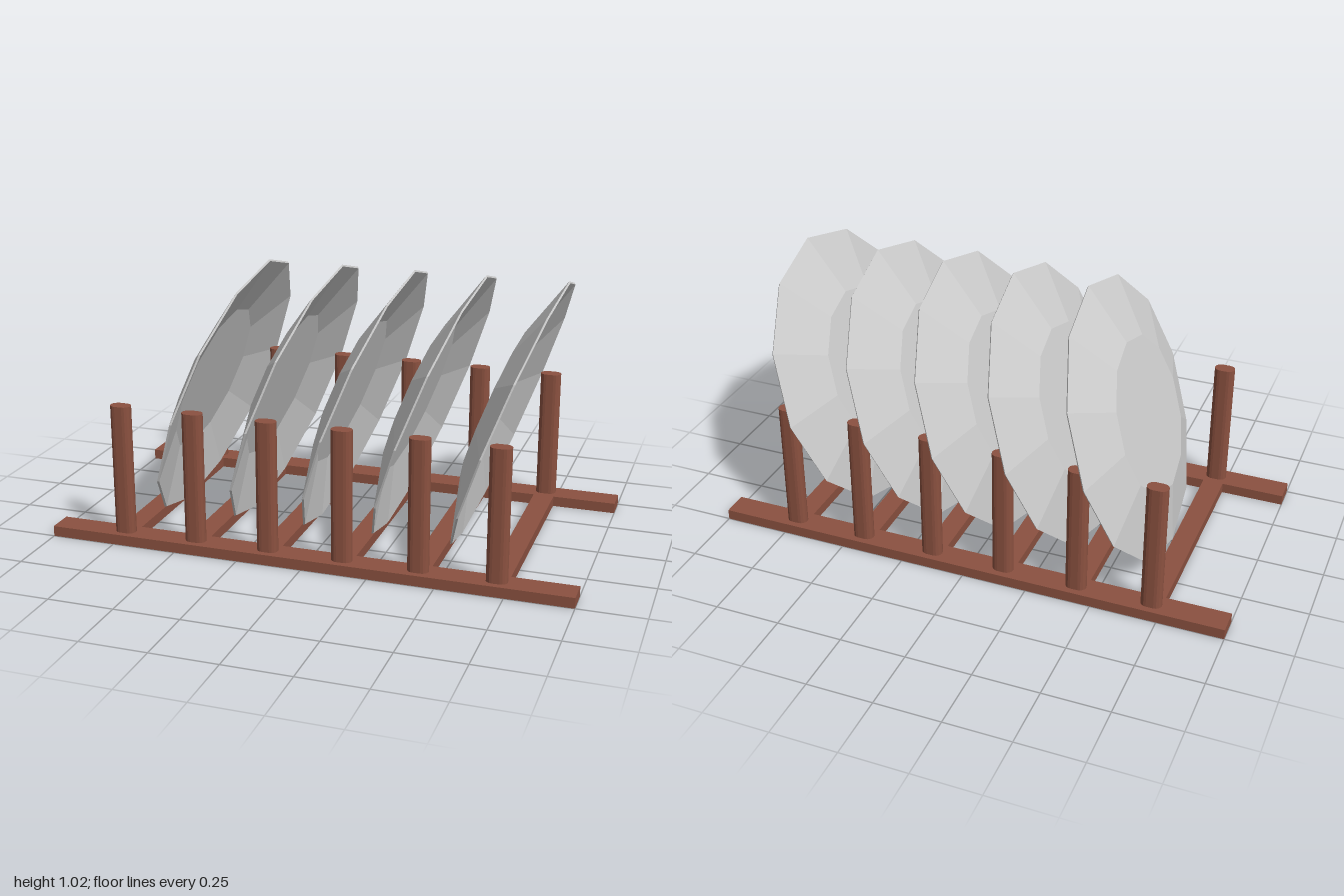
import * as THREE from 'three';

const wood = new THREE.MeshStandardMaterial({ color: 0x8b5140, flatShading: true });
const china = new THREE.MeshStandardMaterial({ color: 0xcccccc, flatShading: true });

function add(parent, name, geometry, material, x, y, z) {
  const mesh = new THREE.Mesh(geometry, material);
  mesh.name = name;
  mesh.position.set(x, y, z);
  parent.add(mesh);
  return mesh;
}

// Upright peg with a stadium-shaped section
function pegGeometry(halfLength, radius, height) {
  const c = halfLength - radius;
  const shape = new THREE.Shape();
  shape.absarc(c, 0, radius, -Math.PI / 2, Math.PI / 2, false);
  shape.absarc(-c, 0, radius, Math.PI / 2, Math.PI * 1.5, false);
  const geometry = new THREE.ExtrudeGeometry(shape, { depth: height, bevelEnabled: false, curveSegments: 4 });
  return geometry.rotateX(-Math.PI / 2);
}

// Thin hollow plate with twelve sides; its base faces +y
function plateGeometry() {
  const profile = [[0, 0.062], [0.3, 0.062], [0.535, 0], [0.54, 0.006], [0.3, 0.08], [0, 0.08]];
  return new THREE.LatheGeometry(profile.map(([r, y]) => new THREE.Vector2(r, y)), 12);
}

export function createModel() {
  const model = new THREE.Group();
  model.name = 'plateRack';

  // Two long base rails
  const rail = new THREE.BoxGeometry(2, 0.04, 0.1);
  for (const side of [1, -1]) add(model, side > 0 ? 'frontRail' : 'backRail', rail, wood, 0, 0.02, side * 0.45);

  // Six crossbars, each with a peg at both ends
  const bar = new THREE.BoxGeometry(0.08, 0.04, 0.8);
  const peg = pegGeometry(0.04, 0.026, 0.5);
  for (let i = 0; i < 6; i++) {
    const x = -0.717 + i * 0.2865;
    add(model, 'crossbar', bar, wood, x, 0.02, 0);
    for (const side of [1, -1]) add(model, side > 0 ? 'frontPeg' : 'backPeg', peg, wood, x, 0.04, side * 0.45);
  }

  // Five plates leaning towards +x
  const plate = plateGeometry();
  for (const x of [-0.475, -0.185, 0.095, 0.365, 0.665]) {
    add(model, 'plate', plate, china, x, 0.514, 0).rotation.z = THREE.MathUtils.degToRad(70);
  }
  return model;
}
